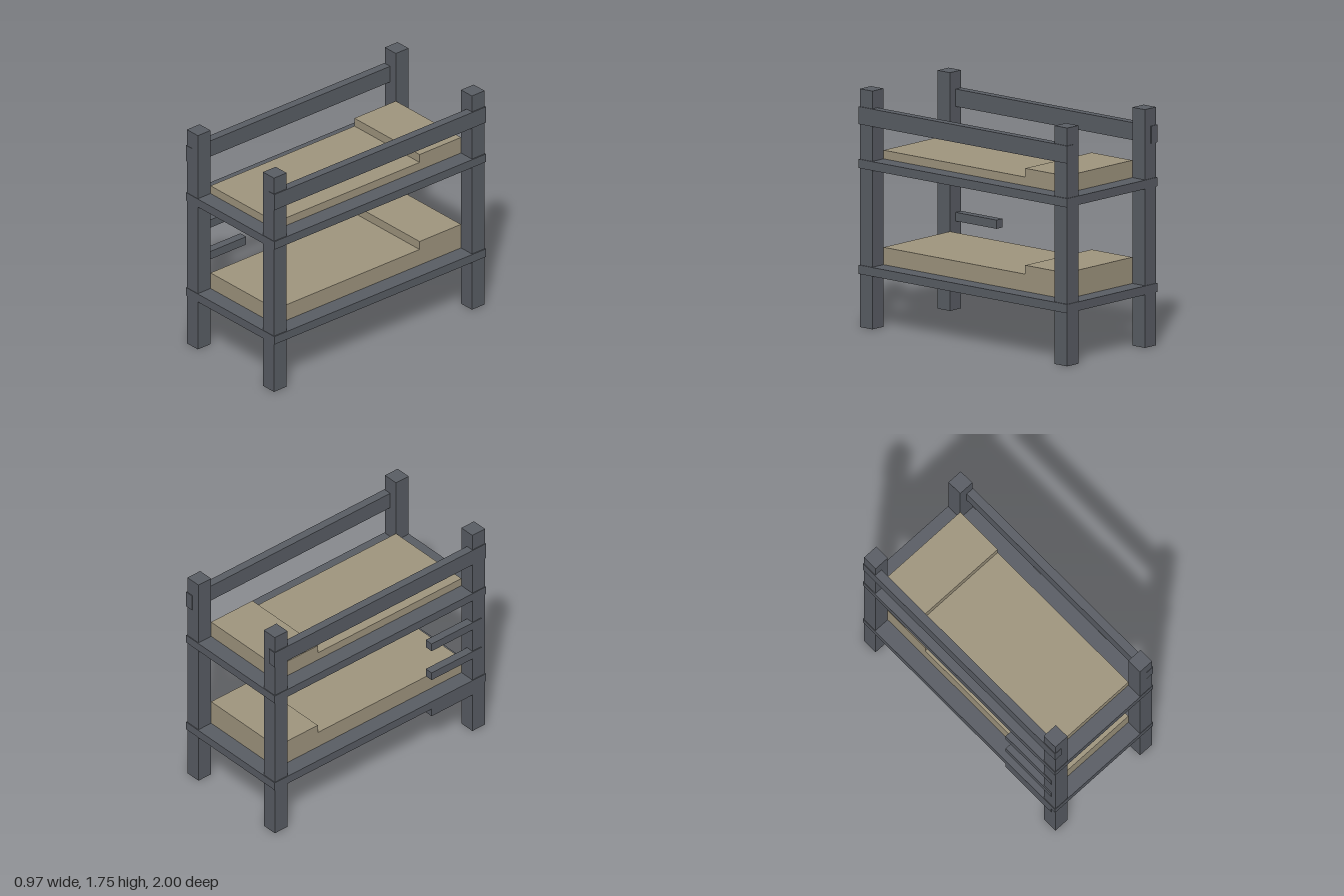
import * as THREE from 'three';

export function createModel() {
  const model = new THREE.Group();
  model.name = 'bunkBed';

  const frame = new THREE.MeshStandardMaterial({ color: 0x5a5e65 });
  frame.name = 'slate grey frame';
  const bedding = new THREE.MeshStandardMaterial({ color: 0xa0967f });
  bedding.name = 'tan bedding';

  // Box given by its lower and upper limits on each axis
  function block(name, material, [x0, x1], [y0, y1], [z0, z1]) {
    const mesh = new THREE.Mesh(new THREE.BoxGeometry(x1 - x0, y1 - y0, z1 - z0), material);
    mesh.position.set((x0 + x1) / 2, (y0 + y1) / 2, (z0 + z1) / 2);
    mesh.name = name;
    model.add(mesh);
  }

  // Four corner posts
  for (const [side, x] of [['Right', [-0.478, -0.358]], ['Left', [0.356, 0.476]]]) {
    block('front' + side + 'Post', frame, x, [0, 1.745], [0.877, 0.997]);
    block('back' + side + 'Post', frame, x, [0, 1.745], [-0.994, -0.874]);
  }

  // Two bunks: platform, mattress and raised pillow
  const bunks = [
    ['lower', 0.39, 0.455, 0.582, 0.647],
    ['upper', 1.165, 1.23, 1.293, 1.357],
  ];
  for (const [level, bottom, top, mattressTop, pillowTop] of bunks) {
    block(level + 'Platform', frame, [-0.484, 0.484], [bottom, top], [-1, 1]);
    block(level + 'Mattress', bedding, [-0.358, 0.356], [top, mattressTop], [-0.874, 0.877]);
    block(level + 'Pillow', bedding, [-0.358, 0.356], [mattressTop, pillowTop], [-0.874, -0.483]);
  }

  // Guard rails along both long sides
  block('rightGuardRail', frame, [-0.484, -0.42], [1.487, 1.615], [-1, 1]);
  block('leftGuardRail', frame, [0.42, 0.484], [1.487, 1.615], [-1, 1]);

  // Climbing rungs fixed to the front right post
  for (const y of [0.326, 0.648, 0.906]) {
    block('ladderRung', frame, [-0.484, -0.42], [y, y + 0.064], [0.486, 0.96]);
  }

  return model;
}
